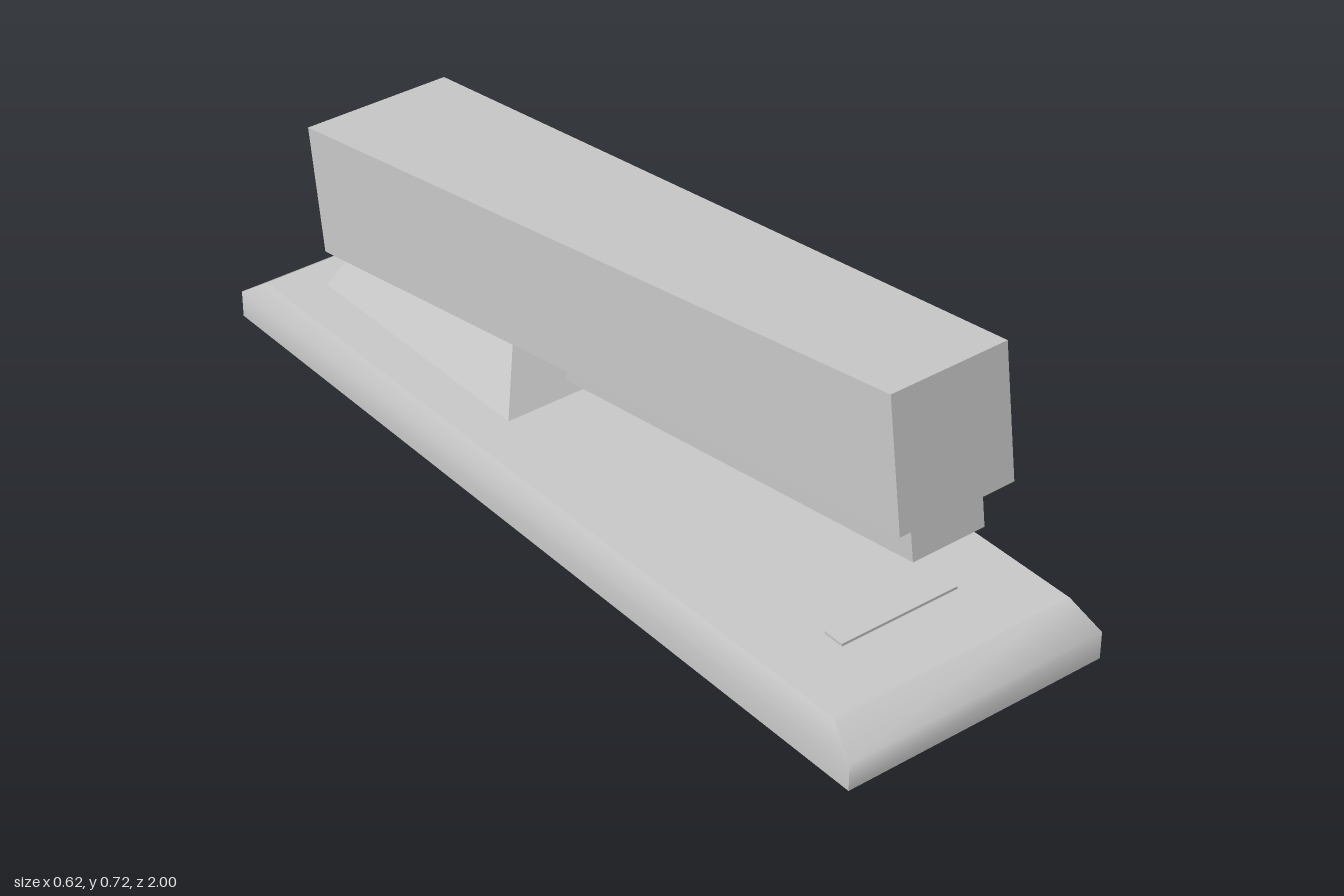
import * as THREE from 'three';
import { mergeGeometries } from 'three/addons/utils/BufferGeometryUtils.js';

const material = new THREE.MeshStandardMaterial({ color: 0xcccccc });

function part(name, geometry) {
  const mesh = new THREE.Mesh(geometry, material);
  mesh.name = name;
  return mesh;
}

// Corner loop of a rectangular section, counter-clockwise seen from above
function section(y, halfX, z0, z1) {
  return [[-halfX, y, z1], [halfX, y, z1], [halfX, y, z0], [-halfX, y, z0]];
}

// Capped loft through rectangular sections: smooth up each side, sharp at corners and caps
function loft(sections) {
  const pieces = [];
  const strip = (rows) => {
    const g = new THREE.BufferGeometry();
    g.setAttribute('position', new THREE.Float32BufferAttribute(rows.flat(2), 3));
    const index = [];
    for (let r = 0; r < rows.length - 1; r++) {
      const a = r * 2;
      index.push(a, a + 1, a + 3, a, a + 3, a + 2);
    }
    g.setIndex(index);
    g.computeVertexNormals();
    pieces.push(g);
  };
  for (let i = 0; i < 4; i++) strip(sections.map((s) => [s[i], s[(i + 1) % 4]]));
  const top = sections[sections.length - 1];
  const bottom = sections[0];
  strip([[top[0], top[1]], [top[3], top[2]]]);
  strip([[bottom[3], bottom[2]], [bottom[0], bottom[1]]]);
  return mergeGeometries(pieces);
}

// Plan outline (x, z) extruded upward from y0 to y1
function slab(outline, y0, y1, hole) {
  const toShape = (points) => points.map(([x, z]) => new THREE.Vector2(x, -z));
  const shape = new THREE.Shape(toShape(outline));
  if (hole) shape.holes.push(new THREE.Path(toShape(hole)));
  const g = new THREE.ExtrudeGeometry(shape, { depth: y1 - y0, bevelEnabled: false });
  return g.rotateX(-Math.PI / 2).translate(0, y0, 0);
}

export function createModel() {
  const model = new THREE.Group();
  model.name = 'stapler';

  // Base with sloped upper edges
  model.add(part('base', loft([
    section(0, 0.312, -1, 1),
    section(0.062, 0.312, -1, 1),
    section(0.111, 0.291, -0.93, 0.93),
  ])));

  // Thin plate under the nose
  const plate = part('anvilPlate', new THREE.BoxGeometry(0.286, 0.014, 0.05));
  plate.position.set(0, 0.11, 0.755);
  model.add(plate);

  // Tapered pivot block
  model.add(part('pivotBlock', loft([
    section(0.11, 0.192, -0.845, -0.19),
    section(0.286, 0.107, -0.755, -0.28),
  ]).translate(-0.002, 0, 0)));

  // Raised arm, pitched up at the front and turned very slightly
  const arm = new THREE.Group();
  arm.name = 'arm';
  arm.rotation.set(-0.14, 0.007, 0, 'YXZ');
  arm.position.set(0, 0.305, 0.0225);
  model.add(arm);

  const outline = [[-0.139, 0.896], [0.139, 0.896], [0.175, -0.896], [-0.175, -0.896]];
  const recess = [[-0.127, 0.87], [-0.127, -0.87], [0.127, -0.87], [0.127, 0.87]];
  arm.add(part('armCover', mergeGeometries([
    slab(outline, 0, 0.08, recess),
    slab(outline, 0.08, 0.288),
  ])));

  // Staple magazine hanging out of the recess
  const magazine = part('magazine', new THREE.BoxGeometry(0.175, 0.163, 1.035));
  magazine.position.set(-0.002, -0.0015, 0.3515);
  arm.add(magazine);

  return model;
}
